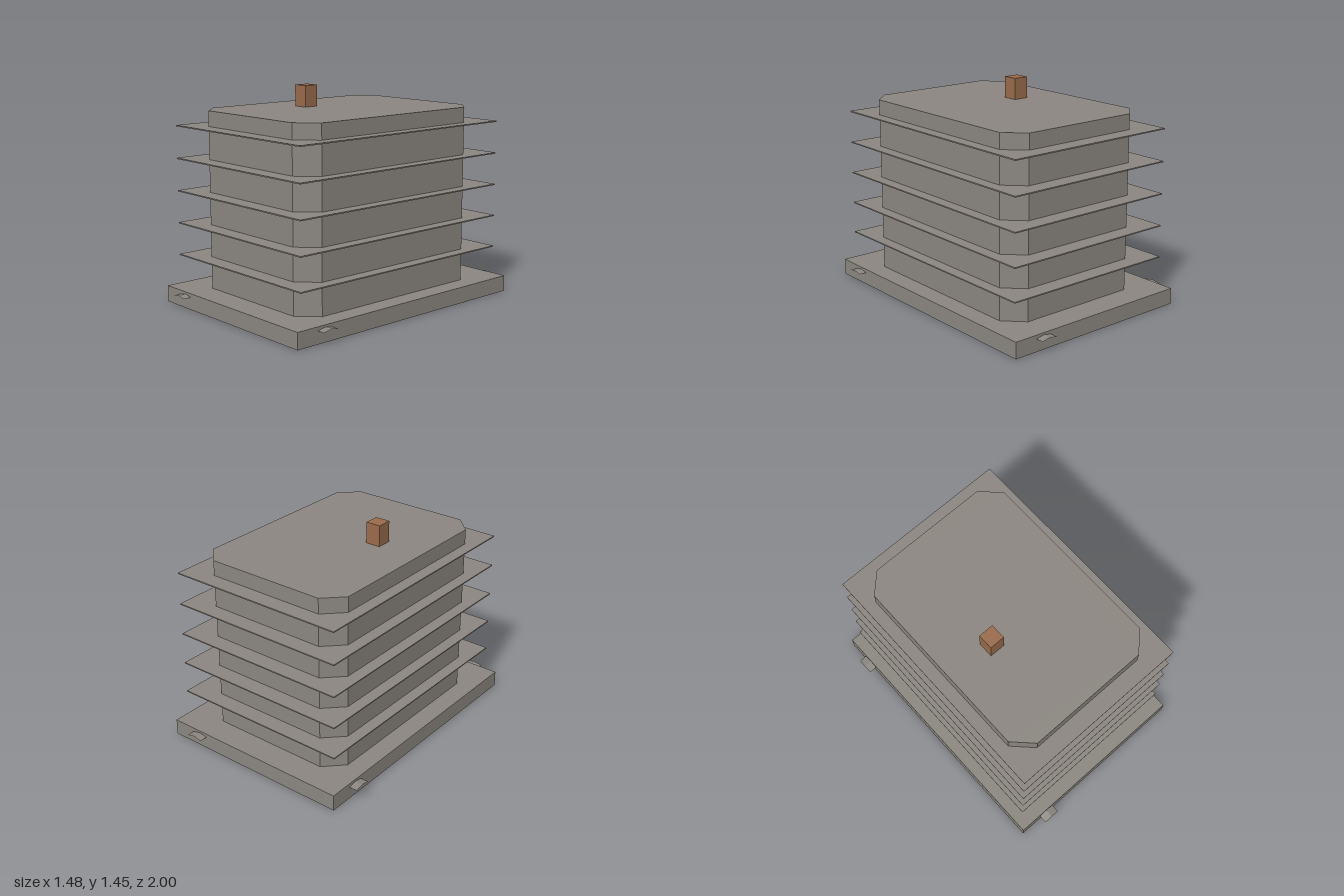
import * as THREE from 'three';

const stone = new THREE.MeshStandardMaterial({ color: 0x8b8680, side: THREE.DoubleSide });
stone.name = 'warm grey';
const clay = new THREE.MeshStandardMaterial({ color: 0x996b4c });
clay.name = 'brown';

const BASE_TOP = 0.11, ROOF = 1.305;

export function createModel() {
  const model = new THREE.Group();
  model.name = 'tieredTower';

  const add = (name, geometry, material, x, y, z) => {
    const mesh = new THREE.Mesh(geometry, material);
    mesh.name = name;
    mesh.position.set(x, y, z);
    model.add(mesh);
    return mesh;
  };

  // Hollow base: a box whose underside is left open
  const base = new THREE.BoxGeometry(1.365, BASE_TOP, 1.89);
  const faces = Array.from(base.index.array);
  faces.splice(18, 6);
  base.setIndex(faces);
  base.clearGroups();
  add('base', base, stone, 0, BASE_TOP / 2, -0.003);

  // Tower body with cut corners
  const w = 0.55, d = 0.76, c = 0.125;
  const plan = new THREE.Shape([
    [w - c, -d], [w, c - d], [w, d - c], [w - c, d],
    [c - w, d], [-w, d - c], [-w, c - d], [c - w, -d],
  ].map(([x, y]) => new THREE.Vector2(x, y)));
  const tower = new THREE.ExtrudeGeometry(plan, { depth: ROOF - BASE_TOP, bevelEnabled: false });
  tower.rotateX(-Math.PI / 2);
  add('towerBody', tower, stone, 0, BASE_TOP, -0.003);

  // Thin eaves between the storeys
  for (let i = 0; i < 5; i++) {
    add('eave' + (i + 1), new THREE.BoxGeometry(1.264, 0.008, 1.75), stone, 0, 0.324 + i * 0.2183, -0.003);
  }

  // Chimney
  add('chimney', new THREE.BoxGeometry(0.105, 0.145, 0.105), clay, -0.212, ROOF + 0.0725, 0.102);

  // Small ridged tabs around the base, one on each side
  const tabs = [
    ['frontTab', -0.467, 0.971, 0], ['backTab', 0.46, -0.974, 0],
    ['leftTab', 0.708, 0.725, Math.PI / 2], ['rightTab', -0.71, -0.732, Math.PI / 2],
  ];
  for (const [name, x, z, turn] of tabs) {
    const tab = new THREE.PlaneGeometry(0.118, 0.058, 2, 1).rotateX(-Math.PI / 2).toNonIndexed();
    const p = tab.attributes.position;
    for (let i = 0; i < p.count; i++) p.setY(i, Math.abs(p.getX(i)) < 0.01 ? 0.096 : 0.085);
    tab.computeVertexNormals();
    add(name, tab, stone, x, 0, z).rotation.y = turn;
  }

  return model;
}
